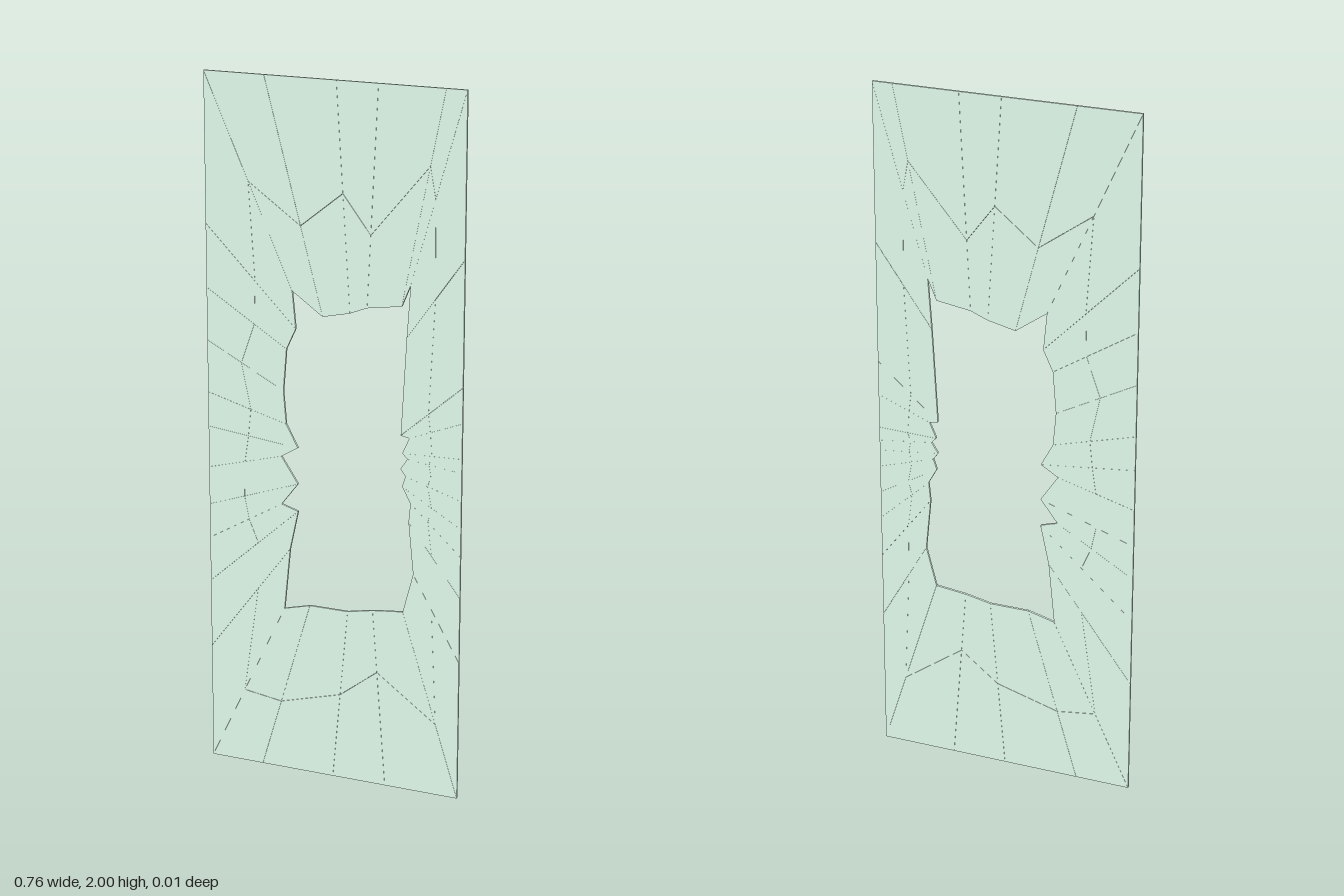
import * as THREE from 'three';

const W = 0.378, H = 2, T = 0.007;
const SHRINK = 0.997; // leaves hairline cracks between shards

// Spokes running clockwise round the break, one list per side of the pane.
// Each row: hole x, hole y, position along the outer edge, crack ring fraction.
const SIDES = {
  top: [
    [-0.12, 1.415, -W, 0.5], [-0.03, 1.352, -0.2, 0.38], [0.05, 1.37, 0.01, 0.52],
    [0.1, 1.39, 0.13, 0.33], [0.2, 1.405, 0.32, 0.65],
  ],
  right: [
    [0.225, 1.465, H, 0.45], [0.215, 1.32, 1.55, 0.5], [0.2, 1.045, 1.2, 0.45],
    [0.225, 1.04, 1.1, 0.4], [0.205, 0.995, 1.0, 0.5], [0.22, 0.98, 0.96, 0.4],
    [0.2, 0.95, 0.93, 0.5], [0.215, 0.93, 0.88, 0.4], [0.205, 0.9, 0.8, 0.5],
    [0.23, 0.855, 0.72, 0.35], [0.225, 0.8, 0.6, 0.45], [0.24, 0.65, 0.41, 0.4],
  ],
  bottom: [
    [0.21, 0.535, W, 0.6], [0.12, 0.525, 0.16, 0.35],
    [0.045, 0.51, 0, 0.5], [-0.07, 0.51, -0.22, 0.6],
  ],
  left: [
    [-0.148, 0.49, 0, 0.55], [-0.13, 0.67, 0.34, 0.4], [-0.105, 0.785, 0.54, 0.45],
    [-0.155, 0.8, 0.67, 0.45], [-0.105, 0.865, 0.77, 0.6], [-0.155, 0.94, 0.88, 0.5],
    [-0.105, 0.97, 1.0, 0.55], [-0.14, 1.035, 1.1, 0.45], [-0.148, 1.13, 1.25, 0.55],
    [-0.138, 1.25, 1.4, 0.4], [-0.11, 1.31, 1.58, 0.45],
  ],
};

// Position on the outer edge of the pane
const OUTER = {
  top: (s) => new THREE.Vector2(s, H),
  right: (s) => new THREE.Vector2(W, s),
  bottom: (s) => new THREE.Vector2(s, 0),
  left: (s) => new THREE.Vector2(-W, s),
};

export function createModel() {
  const model = new THREE.Group();
  model.name = 'brokenPane';
  // Pale green glass
  const glass = new THREE.MeshStandardMaterial({ color: 0xe2fcec });

  // A flat shard cut from the pane, drawn in slightly towards its middle
  const addShard = (name, corners) => {
    const middle = new THREE.Vector2();
    corners.forEach((p) => middle.addScaledVector(p, 1 / corners.length));
    const outline = corners.map((p) => middle.clone().lerp(p, SHRINK));
    const geometry = new THREE.ExtrudeGeometry(new THREE.Shape(outline), {
      depth: T, bevelEnabled: false,
    });
    geometry.translate(0, 0, -T / 2);
    const mesh = new THREE.Mesh(geometry, glass);
    mesh.name = name;
    model.add(mesh);
  };

  // Radial cracks from the hole to the frame
  const spokes = Object.entries(SIDES).flatMap(([side, rows]) =>
    rows.map(([x, y, s, t]) => {
      const inner = new THREE.Vector2(x, y);
      const outer = OUTER[side](s);
      return { inner, mid: inner.clone().lerp(outer, t), outer };
    }));

  // Two rings of shards, meeting along the zigzag crack
  spokes.forEach((a, i) => {
    const b = spokes[(i + 1) % spokes.length];
    addShard('innerShard', [a.inner, a.mid, b.mid, b.inner]);
    addShard('outerShard', [a.mid, a.outer, b.outer, b.mid]);
  });

  return model;
}
